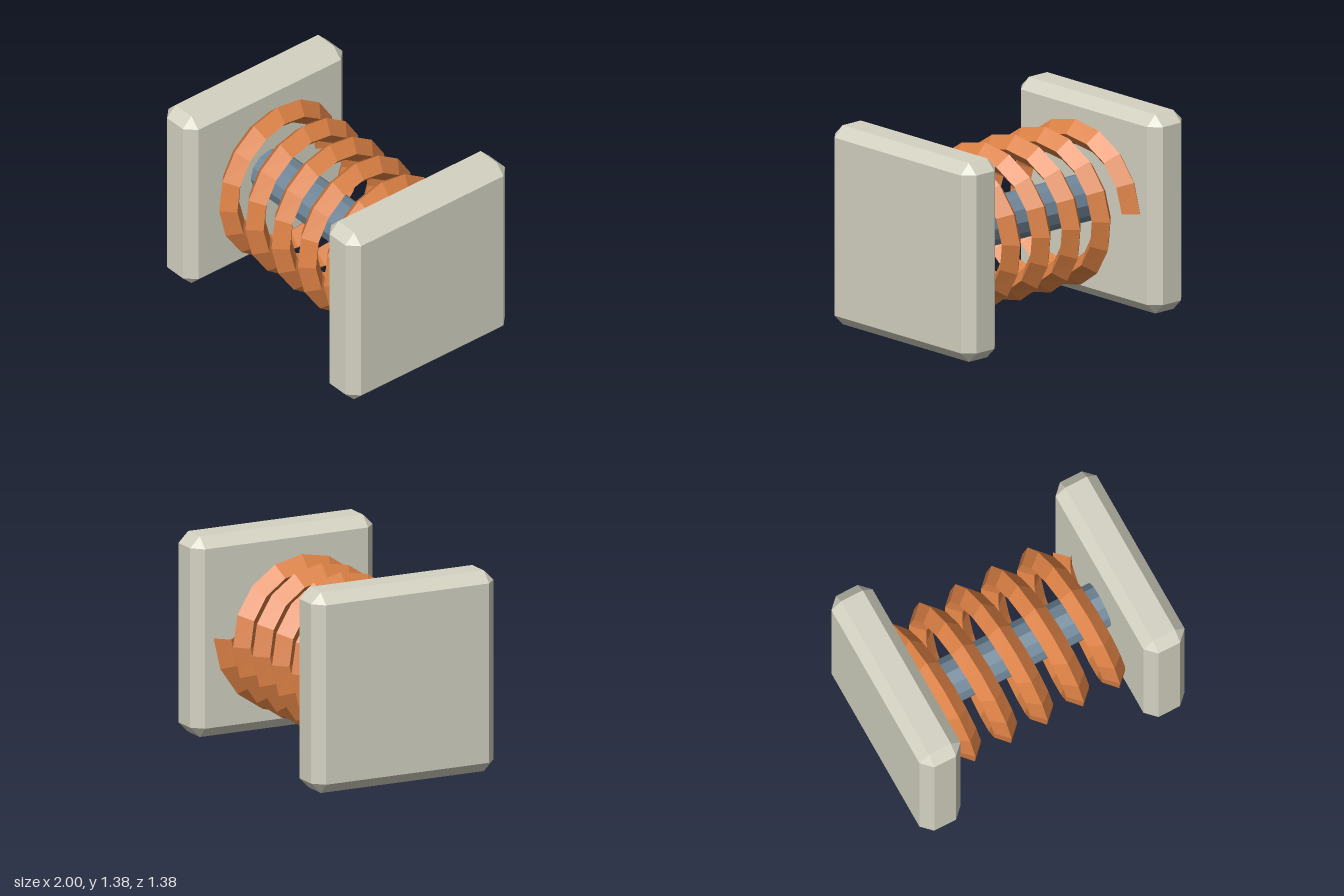
import * as THREE from 'three';
import { ConvexGeometry } from 'three/addons/geometries/ConvexGeometry.js';

const CENTER_Y = 0.6875;

function makeMesh(name, geometry, color) {
  const material = new THREE.MeshStandardMaterial({ color, flatShading: true });
  const mesh = new THREE.Mesh(geometry, material);
  mesh.name = name;
  return mesh;
}

// Box with a flat bevel on every edge and a triangle at every corner
function bevelledBox(width, height, depth, bevel) {
  const half = [width / 2, height / 2, depth / 2];
  const points = [];
  for (const sx of [-1, 1]) for (const sy of [-1, 1]) for (const sz of [-1, 1]) {
    const sign = [sx, sy, sz];
    for (let full = 0; full < 3; full++) {
      const c = half.map((h, k) => sign[k] * (k === full ? h : h - bevel));
      points.push(new THREE.Vector3(...c));
    }
  }
  return new ConvexGeometry(points);
}

// Diamond section swept along a helix around the x axis, with open ends
function coilGeometry(radius, section, pitch, turns, steps) {
  const positions = [], index = [], sides = 4;
  const count = turns * steps;
  for (let i = 0; i <= count; i++) {
    const turn = i / steps;
    const angle = turn * Math.PI * 2 - Math.PI / 2; // starts at the back
    for (let j = 0; j < sides; j++) {
      const phi = (j / sides) * Math.PI * 2;
      const r = radius + section * Math.cos(phi);
      const x = (turn - turns / 2) * pitch + section * Math.sin(phi);
      positions.push(x, r * Math.cos(angle), r * Math.sin(angle));
      if (i < count) {
        const a = i * sides + j, c = i * sides + ((j + 1) % sides);
        const b = a + sides, d = c + sides;
        index.push(a, b, c, b, d, c);
      }
    }
  }
  const geometry = new THREE.BufferGeometry();
  geometry.setAttribute('position', new THREE.Float32BufferAttribute(positions, 3));
  geometry.setIndex(index);
  const flat = geometry.toNonIndexed();
  flat.computeVertexNormals();
  return flat;
}

export function createModel() {
  const model = new THREE.Group();
  model.name = 'springBetweenPlates';

  // End plates
  for (const [name, side] of [['leftPlate', 1], ['rightPlate', -1]]) {
    const plate = makeMesh(name, bevelledBox(0.31, 1.375, 1.375, 0.073), 0xd3d2c2);
    plate.position.set(side * 0.845, CENTER_Y, 0);
    model.add(plate);
  }

  // Central rod
  const rodGeometry = new THREE.CylinderGeometry(0.163, 0.163, 1.42, 12);
  rodGeometry.rotateZ(Math.PI / 2);
  const rod = makeMesh('rod', rodGeometry, 0x708799);
  rod.position.y = CENTER_Y;
  model.add(rod);

  // Coil spring
  const spring = makeMesh('coilSpring', coilGeometry(0.47, 0.086, 0.272, 5, 16), 0xdb8044);
  spring.position.y = CENTER_Y;
  model.add(spring);

  return model;
}
